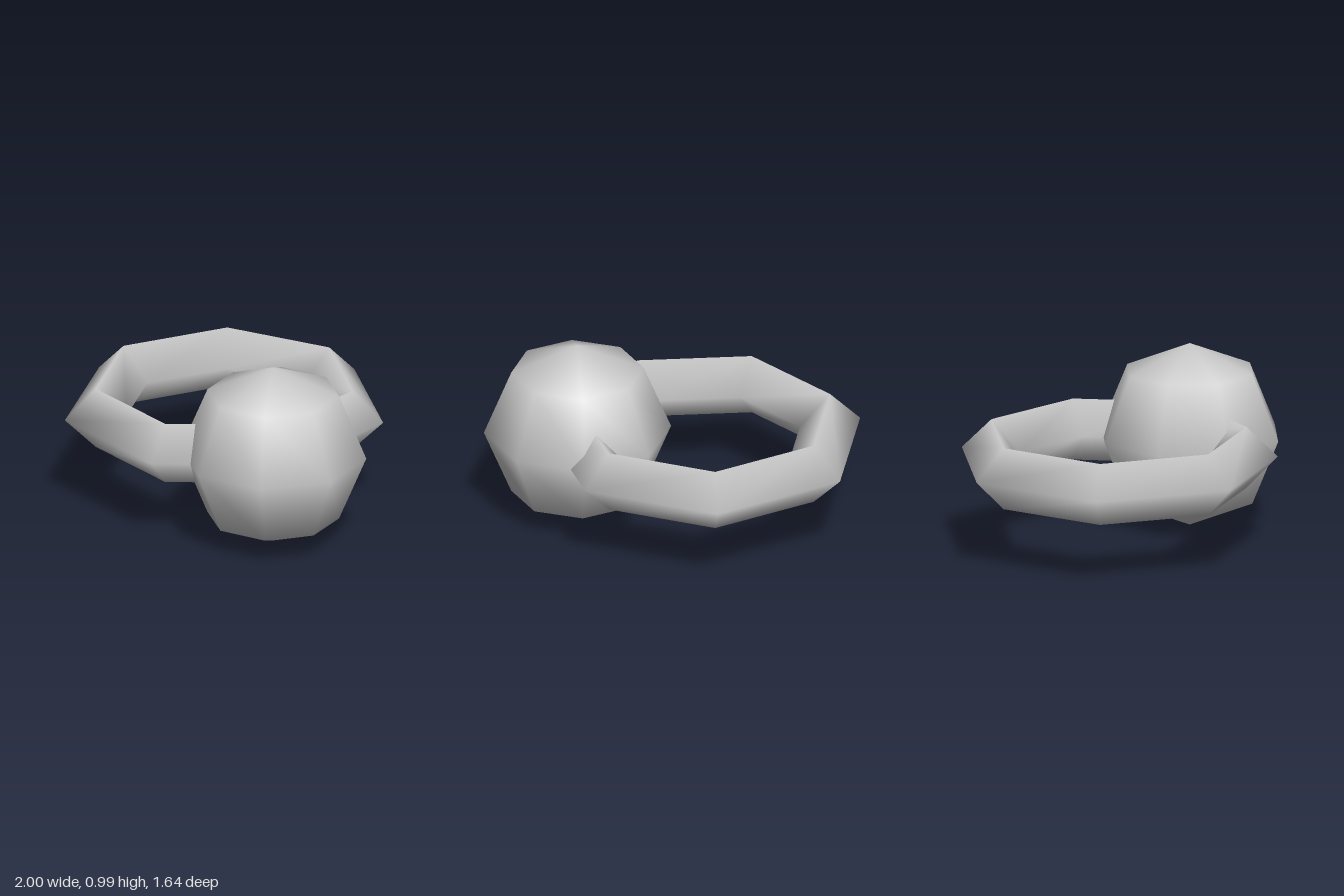
import * as THREE from 'three';

export function createModel() {
  const group = new THREE.Group();
  const material = new THREE.MeshStandardMaterial({ color: 0xcccccc });

  // Seven-sided ring with a diamond cross-section, lying flat, one corner to the back
  const ringGeometry = new THREE.TorusGeometry(0.697, 0.167, 4, 7);
  ringGeometry.rotateZ(Math.PI / 2).rotateX(-Math.PI / 2);
  const ring = new THREE.Mesh(ringGeometry, material);
  ring.name = 'ring';
  ring.position.set(-0.16, 0.5, 0.04);
  group.add(ring);

  // Coarse ball threaded on the ring
  const ball = new THREE.Mesh(new THREE.SphereGeometry(0.497, 8, 4), material);
  ball.name = 'ball';
  ball.position.set(0.5, 0.5, 0.222);
  group.add(ball);

  return group;
}
